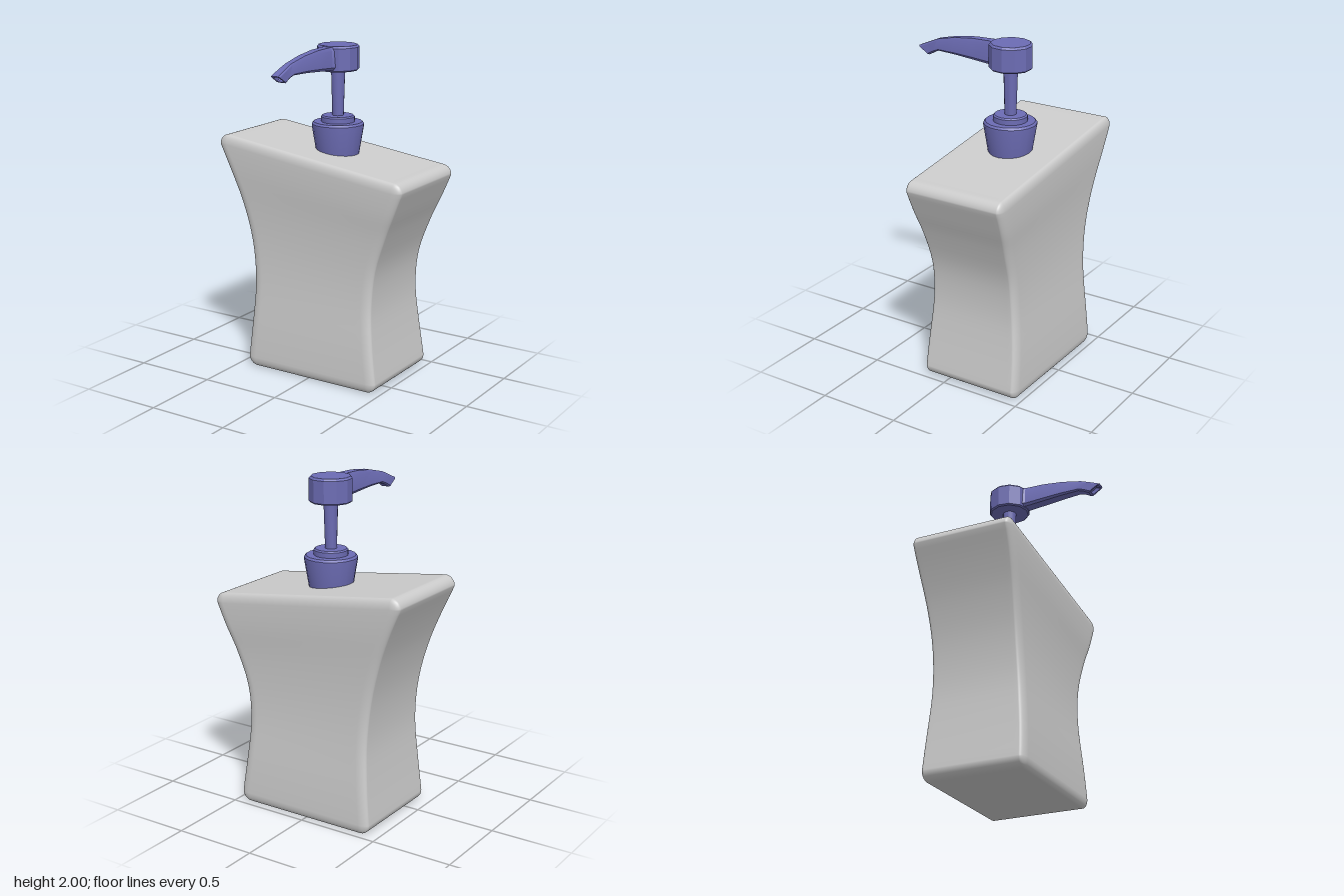
import * as THREE from 'three';
import { mergeVertices, toCreasedNormals } from 'three/addons/utils/BufferGeometryUtils.js';

const CX = 0.018, CZ = -0.155; // pump axis
const bodyMat = new THREE.MeshStandardMaterial({ color: 0xcccccc });
const pumpMat = new THREE.MeshStandardMaterial({ color: 0x6c6cb4 });
const spline = pts => new THREE.SplineCurve(pts.map(p => new THREE.Vector2(...p)));

// Rounded box whose sides follow two curves, with a sloping top and a slim waist
function bottleGeometry() {
  const R = [0.06, 0.06, 0.03], E = 5, M = 22, N = M + 2 * E;
  const left = spline([[-0.38, 0.06], [-0.357, 0.3], [-0.345, 0.55], [-0.37, 0.8],
    [-0.428, 1.03], [-0.5, 1.22], [-0.575, 1.385]]);
  const right = spline([[0.41, 0.06], [0.377, 0.3], [0.36, 0.52], [0.38, 0.74],
    [0.45, 0.95], [0.51, 1.09], [0.57, 1.235]]);
  let g = new THREE.BoxGeometry(1, 1, 1, N, N, N);
  const pos = g.attributes.position, d = new THREE.Vector3();
  for (let i = 0; i < pos.count; i++) {
    const core = [], off = [];
    for (const c of [pos.getX(i), pos.getY(i), pos.getZ(i)]) {
      const k = Math.round((c + 0.5) * N);
      core.push(THREE.MathUtils.clamp((k - E) / M, 0, 1));
      const o = k < E ? (k - E) / E : k > N - E ? (k - N + E) / E : 0;
      off.push(Math.tan(o * Math.PI / 4));
    }
    d.set(...off).normalize();
    const [u, v, w] = core;
    const p = left.getPoint(v).lerp(right.getPoint(v), u);
    const half = 0.32 - 0.035 * Math.sin(Math.PI * Math.pow(v, 0.9)) ** 2 - R[2];
    pos.setXYZ(i, p.x + d.x * R[0], p.y + d.y * R[1], CZ + (2 * w - 1) * half + d.z * R[2]);
  }
  g.deleteAttribute('uv');
  g.deleteAttribute('normal');
  g = mergeVertices(g, 1e-5);
  g.computeVertexNormals();
  return g;
}

// Turned part on the pump axis
function turned(name, profile, sides, crease) {
  const g = new THREE.LatheGeometry(profile.map(p => new THREE.Vector2(...p)), sides);
  const mesh = new THREE.Mesh(toCreasedNormals(g, crease), pumpMat);
  mesh.position.set(CX, 0, CZ);
  mesh.name = name;
  return mesh;
}

// Curved spout lofted through chamfered cross-sections
function spoutGeometry() {
  // x centre, top half width, bottom half width, top z, top y, bottom z, bottom y
  const sections = [
    [0.018, 0.085, 0.085, -0.1, 1.995, -0.1, 1.86],
    [0.018, 0.036, 0.042, -0.03, 1.996, -0.03, 1.862],
    [0.017, 0.033, 0.039, 0.09, 1.993, 0.09, 1.871],
    [0.014, 0.029, 0.036, 0.22, 1.977, 0.21, 1.879],
    [0.008, 0.025, 0.031, 0.345, 1.948, 0.33, 1.881],
    [0.003, 0.028, 0.031, 0.41, 1.92, 0.365, 1.867],
    [0.003, 0.03, 0.032, 0.475, 1.892, 0.402, 1.846]
  ];
  const rings = sections.map(([x, wt, wb, zt, yt, zb, yb]) => {
    const at = (s, w, t) => new THREE.Vector3(x + s * w,
      THREE.MathUtils.lerp(yb, yt, t), THREE.MathUtils.lerp(zb, zt, t));
    return [at(1, wb * 0.75, 0), at(1, wb, 0.12), at(1, wt, 0.86), at(1, wt * 0.75, 1),
      at(-1, wt * 0.75, 1), at(-1, wt, 0.86), at(-1, wb, 0.12), at(-1, wb * 0.75, 0)];
  });
  // Nozzle rim and recess
  const end = rings[rings.length - 1], n = end.length;
  const mid = end.reduce((a, p) => a.add(p), new THREE.Vector3()).divideScalar(n);
  const rim = end.map(p => p.clone().lerp(mid, 0.3));
  rings.push(rim);
  rings.push(rim.map(p => p.clone().add(new THREE.Vector3(0, 0.012, -0.025))));
  const index = [], verts = rings.flat();
  for (let i = 0; i < rings.length - 1; i++) {
    for (let j = 0; j < n; j++) {
      const a = i * n + j, b = i * n + (j + 1) % n;
      index.push(a, b, a + n, b, b + n, a + n);
    }
  }
  const last = (rings.length - 1) * n;
  for (let j = 1; j < n - 1; j++) {
    index.push(last, last + j, last + j + 1);
    index.push(0, j + 1, j);
  }
  const g = new THREE.BufferGeometry().setFromPoints(verts);
  g.setIndex(index);
  return toCreasedNormals(g, 0.5);
}

export function createModel() {
  const model = new THREE.Group();
  model.name = 'soapDispenser';

  const bottle = new THREE.Mesh(bottleGeometry(), bodyMat);
  bottle.name = 'bottle';
  model.add(bottle);

  const pump = new THREE.Group();
  pump.name = 'pump';
  pump.add(turned('collar', [[0, 1.33], [0.125, 1.33], [0.13, 1.36], [0.156, 1.518],
    [0.156, 1.53], [0.145, 1.542], [0, 1.542]], 20, 0.5));
  pump.add(turned('collarRing', [[0.1, 1.53], [0.1, 1.572], [0.092, 1.58], [0, 1.58]], 20, 0.5));
  pump.add(turned('stem', [[0.034, 1.57], [0.042, 1.86]], 14, 0.6));
  const head = turned('pumpHead', [[0, 1.85], [0.118, 1.85], [0.126, 1.858],
    [0.126, 1.988], [0.115, 2], [0, 2]], 11, 0.4);
  pump.add(head);
  const spout = new THREE.Mesh(spoutGeometry(), pumpMat);
  spout.name = 'spout';
  pump.add(spout);
  model.add(pump);
  return model;
}
